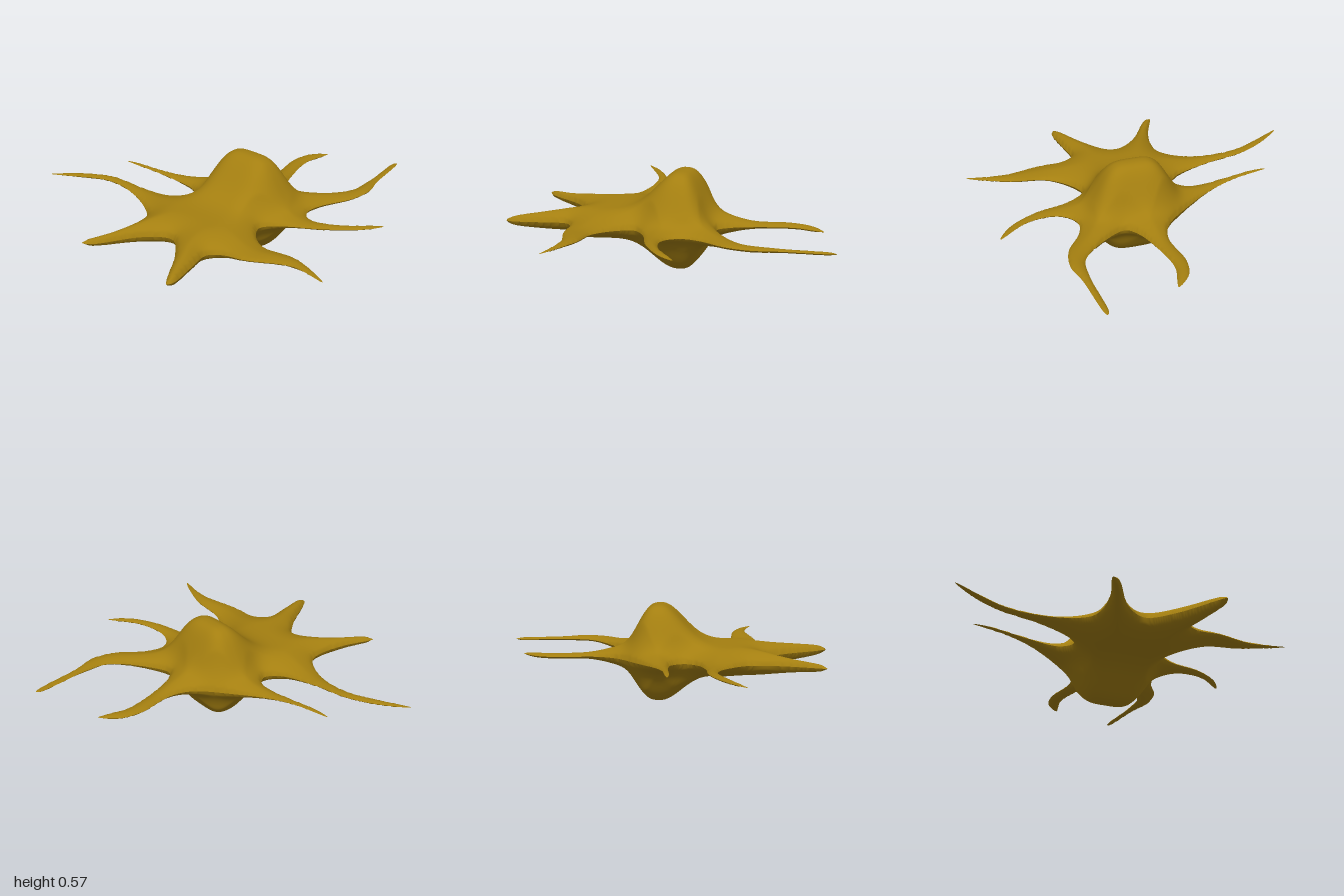
import * as THREE from 'three';

// Plan outline of the body and its eight arms, as x, z pairs
const OUTLINE = [
  // long back arm
  -.52, -1, -.40, -.86, -.31, -.68, -.285, -.46, -.23, -.25, -.15, -.19, -.08, -.25,
  // second back arm
  -.075, -.45, -.1, -.7, -.095, -.77, -.08, -.72, -.05, -.55, 0, -.4, .1, -.23, .27, -.04,
  // left arm
  .4, 0, .62, -.03, .75, 0, .835, .085, .78, .075, .67, .05, .53, .07, .3, .15, .245, .21,
  // left front arm
  .3, .33, .47, .495, .62, .515, .95, .495, .97, .508, .95, .52, .66, .562, .53, .595, .38, .57, .22, .473, .12, .45,
  // front arm
  .05, .49, .02, .57, .06, .73, .19, .91, .09, .845, -.03, .67, -.12, .44, -.2, .35,
  // right front arm
  -.3, .4, -.385, .53, -.4, .75, -.505, .99, -.475, .78, -.55, .53, -.57, .38, -.62, .315,
  // two right arms
  -.77, .338, -.94, .367, -.975, .35, -.94, .318, -.72, .18, -.605, .05,
  -.69, -.09, -.93, -.25, -.95, -.293, -.77, -.23, -.6, -.205, -.5, -.23, -.4, -.38, -.355, -.56, -.37, -.7,
];

const STEP = 0.01, N = 206, START = -1.03;
const smooth = THREE.MathUtils.smoothstep;

function outlinePoints() {
  const pts = [];
  for (let i = 0; i < OUTLINE.length; i += 2) pts.push(new THREE.Vector3(OUTLINE[i], 0, OUTLINE[i + 1]));
  return new THREE.CatmullRomCurve3(pts, true).getPoints(420);
}

// Nearest outline point and signed distance (positive inside)
function nearest(x, z, loop) {
  let best = Infinity, bx = 0, bz = 0, inside = false;
  for (let i = 0; i < loop.length - 1; i++) {
    const a = loop[i], b = loop[i + 1], dx = b.x - a.x, dz = b.z - a.z;
    const t = Math.min(1, Math.max(0, ((x - a.x) * dx + (z - a.z) * dz) / (dx * dx + dz * dz || 1)));
    const px = a.x + dx * t, pz = a.z + dz * t, d = (px - x) ** 2 + (pz - z) ** 2;
    if (d < best) { best = d; bx = px; bz = pz; }
    if ((a.z > z) !== (b.z > z) && x < a.x + dx * (z - a.z) / dz) inside = !inside;
  }
  return { x: bx, z: bz, d: Math.sqrt(best) * (inside ? 1 : -1) };
}

// Central hump, elongated front to back and steeper on its left side
function hump(x, z) {
  const dx = x - 0.01, dz = z - 0.09;
  const across = dx > 0 ? (dx / 0.15) ** 3 : (dx / 0.185) ** 2;
  return Math.exp(-across - (dz / (dz > 0 ? 0.235 : 0.21)) ** 4);
}

function bodyGeometry() {
  const loop = outlinePoints(), grid = [];
  let sq = new Float32Array(N * N);
  // Grid in plan, with edge vertices pulled onto the outline
  for (let j = 0; j < N; j++) for (let i = 0; i < N; i++) {
    const x = START + i * STEP, z = START + j * STEP, n = nearest(x, z, loop);
    const rim = n.d < 0.4 * STEP;
    grid.push({ x: rim ? n.x : x, z: rim ? n.z : z, d: n.d, rim });
    if (rim) continue;
    // Rounded edge, thinner along the left, front and back arms
    const thick = 0.08 * (1 - 0.65 * smooth(Math.max(x, Math.abs(z - 0.06)), 0.15, 0.5));
    const u = Math.min(1, n.d / 0.18);
    sq[j * N + i] = thick * thick * (1 - (1 - u) ** 2);
  }
  // Soften the ridges along the arms
  for (let k = 0; k < 6; k++) {
    const next = sq.slice();
    grid.forEach((g, q) => {
      if (!g.rim) next[q] = 0.5 * sq[q] + 0.125 * (sq[q - 1] + sq[q + 1] + sq[q - N] + sq[q + N]);
    });
    sq = next;
  }

  // Upper and lower sheets
  const pos = [], index = [];
  for (const side of [1, -1]) grid.forEach((g, q) => {
    const mid = 0.265 + 0.04 * smooth(Math.abs(g.z - 0.06), 0.2, 0.8);
    const bump = g.rim ? 0 : hump(g.x, g.z) * Math.min(1, g.d / 0.1) * (side > 0 ? 0.23 : 0.18);
    pos.push(g.x, mid + side * (Math.sqrt(sq[q]) + bump), g.z);
  });
  for (let j = 0; j < N - 1; j++) for (let i = 0; i < N - 1; i++) {
    const a = j * N + i, b = a + 1, d = a + N, c = d + 1, M = N * N;
    if (Math.max(grid[a].d, grid[b].d, grid[c].d, grid[d].d) < -0.5 * STEP) continue;
    index.push(a, d, c, a, c, b, M + a, M + c, M + d, M + a, M + b, M + c);
  }

  // Keep only the vertices in use
  const remap = new Map(), used = [];
  const compact = index.map((v) => {
    if (!remap.has(v)) {
      remap.set(v, remap.size);
      used.push(pos[v * 3], pos[v * 3 + 1], pos[v * 3 + 2]);
    }
    return remap.get(v);
  });
  const geo = new THREE.BufferGeometry();
  geo.setAttribute('position', new THREE.Float32BufferAttribute(used, 3));
  geo.setIndex(compact);
  geo.computeVertexNormals();
  geo.computeBoundingBox();
  geo.translate(0, -geo.boundingBox.min.y, 0);
  return geo;
}

export function createModel() {
  const group = new THREE.Group();
  group.name = 'amoeba';
  const body = new THREE.Mesh(bodyGeometry(), new THREE.MeshStandardMaterial({ color: 0xa47f10 }));
  body.name = 'bodyWithArms';
  group.add(body);
  return group;
}
